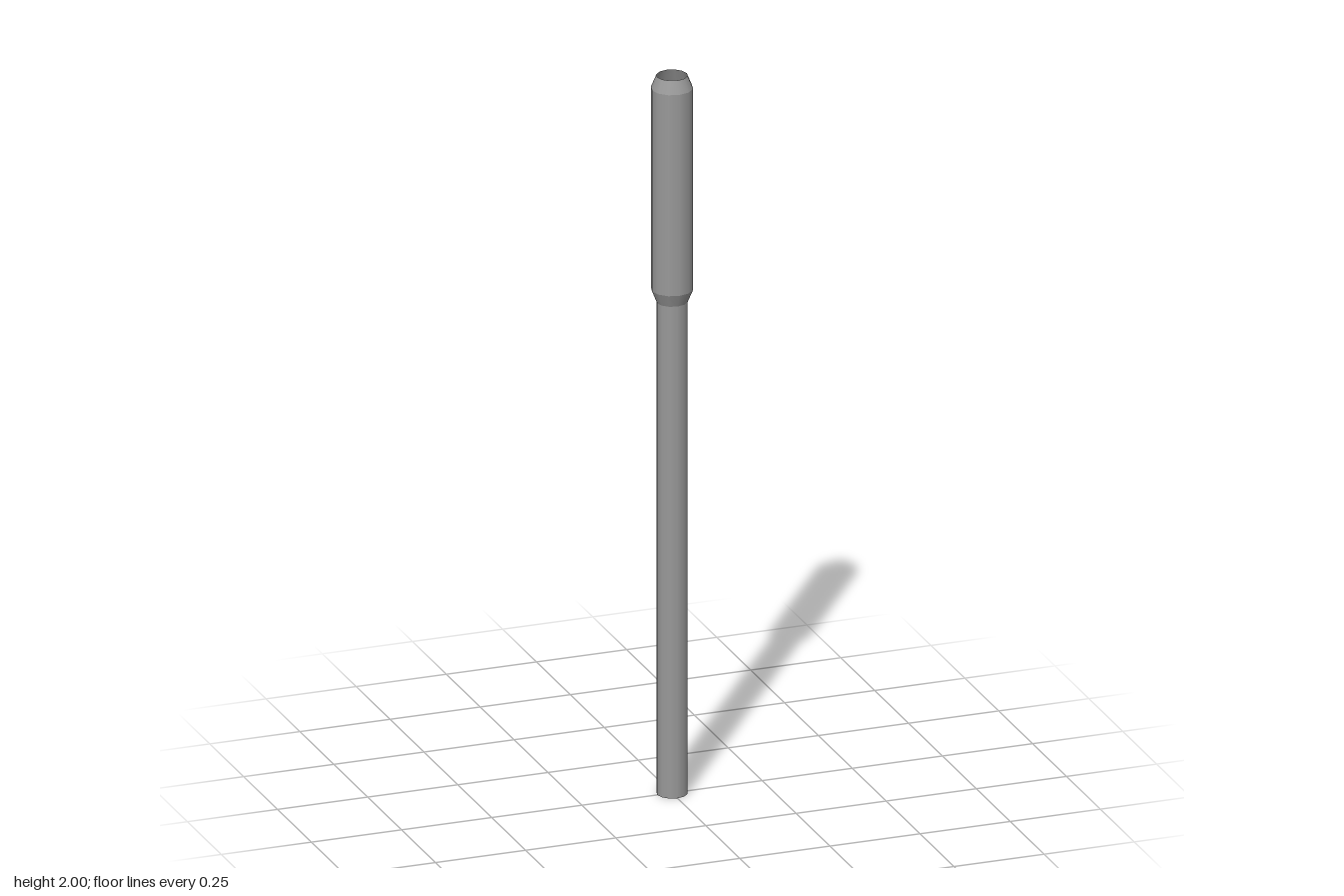
import * as THREE from 'three';

const SIDES = 12;
const SHAFT_RADIUS = 0.041;
const SLEEVE_RADIUS = 0.0555;

export function createModel() {
  const model = new THREE.Group();
  model.name = 'hollowTube';

  // Open, thin-walled tube seen from inside and outside
  const material = new THREE.MeshStandardMaterial({ color: 0x999999, side: THREE.DoubleSide });

  // One open band of the tube; separate bands keep the rims between them sharp
  const addBand = (name, y0, r0, y1, r1) => {
    const profile = [new THREE.Vector2(r0, y0), new THREE.Vector2(r1, y1)];
    const mesh = new THREE.Mesh(new THREE.LatheGeometry(profile, SIDES), material);
    mesh.name = name;
    model.add(mesh);
  };

  addBand('shaft', 0, SHAFT_RADIUS, 1.37, SHAFT_RADIUS);
  addBand('lowerFlare', 1.37, SHAFT_RADIUS, 1.405, SLEEVE_RADIUS);
  addBand('wideSleeve', 1.405, SLEEVE_RADIUS, 1.965, SLEEVE_RADIUS);
  addBand('topTaper', 1.965, SLEEVE_RADIUS, 2, SHAFT_RADIUS);

  return model;
}
